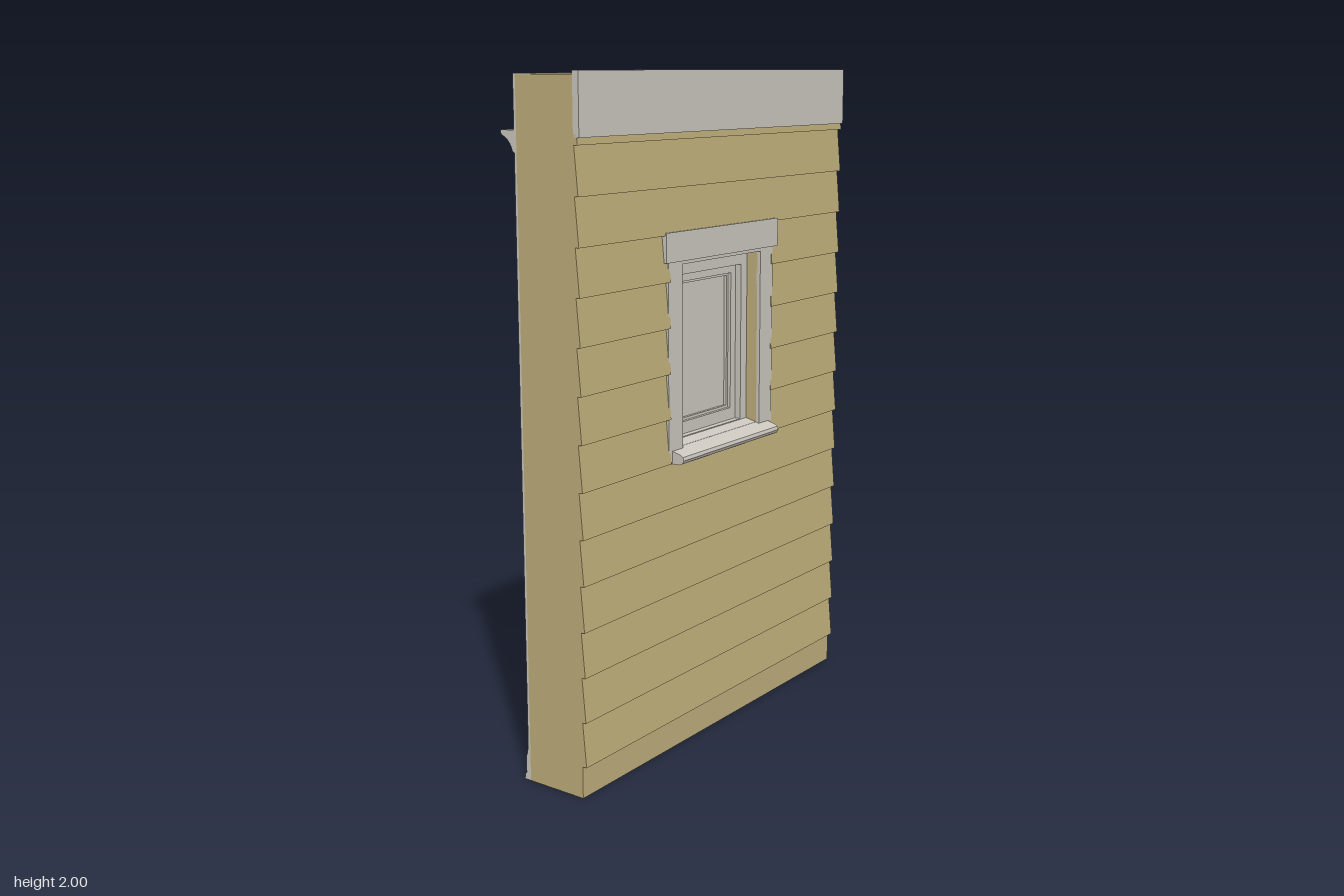
import * as THREE from 'three';

export function createModel() {
  const wall = new THREE.Group();
  wall.name = 'wallSection';
  const tan = new THREE.MeshStandardMaterial({ color: 0xbfae7b });
  tan.name = 'tan siding';
  const grey = new THREE.MeshStandardMaterial({ color: 0xccc8c0 });
  grey.name = 'warm grey trim';

  const add = (name, geo, mat) => {
    const m = new THREE.Mesh(geo, mat);
    m.name = name;
    wall.add(m);
    return m;
  };
  // box given by its limits on each axis
  const box = (name, mat, x0, x1, y0, y1, z0, z1) => {
    const m = add(name, new THREE.BoxGeometry(x1 - x0, y1 - y0, z1 - z0), mat);
    m.position.set((x0 + x1) / 2, (y0 + y1) / 2, (z0 + z1) / 2);
    return m;
  };
  // profile of [z, y] points swept along x
  const sweep = (name, mat, pts, x0, x1) => {
    const shape = new THREE.Shape(pts.map(([z, y]) => new THREE.Vector2(z, y)));
    const geo = new THREE.ExtrudeGeometry(shape, { depth: x1 - x0, bevelEnabled: false });
    geo.rotateY(-Math.PI / 2).translate(x1, 0, 0);
    return add(name, geo, mat);
  };
  // rectangular plate with a rectangular hole; o and h are [halfWidth, bottom, top]
  const ring = (name, mat, o, h, z0, z1) => {
    const rect = (S, [w, b, t]) => new S([[-w, b], [w, b], [w, t], [-w, t]].map(p => new THREE.Vector2(...p)));
    const shape = rect(THREE.Shape, o);
    shape.holes.push(rect(THREE.Path, h));
    const geo = new THREE.ExtrudeGeometry(shape, { depth: z1 - z0, bevelEnabled: false });
    geo.translate(0, 0, z0);
    return add(name, geo, mat);
  };

  const W = 0.66, TOP = 1.99;
  const opening = [0.2, 0.925, 1.46];

  // wall body
  ring('wallCore', tan, [W, 0, TOP], opening, -0.095, 0.1);
  ring('interiorPanel', grey, [W, 0, TOP], opening, -0.103, -0.095);
  box('topPlate', grey, -W, W, TOP - 0.002, TOP + 0.002, -0.103, -0.04);

  // lap siding, parted around the window
  const lap = 0.132;
  for (let i = 0; i < 14; i++) {
    const y0 = 0.095 + i * lap, y1 = Math.min(y0 + lap, 1.84);
    const front = 0.114 - 0.012 * (y1 - y0) / lap;
    const profile = [[0.098, y0], [0.114, y0], [front, y1], [0.098, y1]];
    if (i >= 6 && i <= 10) {
      sweep('sidingBoard', tan, profile, -W, -0.26);
      sweep('sidingBoard', tan, profile, 0.26, W);
    } else sweep('sidingBoard', tan, profile, -W, W);
  }
  box('friezeBoard', grey, -W, W, 1.83, 2, 0.099, 0.12);

  // exterior window trim
  for (const s of [-1, 1]) {
    const a = s * 0.2, b = s * 0.268;
    box('outerSideCasing', grey, Math.min(a, b), Math.max(a, b), 0.89, 1.475, 0.098, 0.111);
  }
  box('outerHeadCasing', grey, -0.285, 0.285, 1.47, 1.555, 0.098, 0.118);
  box('outerHeadFiller', grey, -0.2, 0.2, 1.46, 1.47, 0.098, 0.111);
  sweep('outerSill', grey, [[0.098, 0.885], [0.135, 0.885], [0.146, 0.89], [0.151, 0.9],
    [0.148, 0.91], [0.14, 0.915], [0.098, 0.927]], -0.25, 0.25);
  sweep('sillSlope', grey, [[0.05, 0.92], [0.1, 0.92], [0.1, 0.927], [0.05, 0.938]], -0.2, 0.2);

  // window frame, sash and pane
  ring('windowFrame', grey, [0.2, 0.925, 1.46], [0.168, 0.938, 1.42], -0.01, 0.062);
  ring('sash', grey, [0.168, 0.938, 1.42], [0.142, 0.975, 1.395], 0, 0.042);
  ring('glazingBead', grey, [0.142, 0.975, 1.395], [0.134, 0.983, 1.387], 0.01, 0.032);
  box('pane', grey, -0.136, 0.136, 0.981, 1.389, 0.017, 0.023);

  // interior jamb lining and trim
  ring('jambLining', grey, [0.203, 0.922, 1.463], [0.197, 0.93, 1.455], -0.104, -0.01);
  for (const s of [-1, 1]) {
    const a = s * 0.2, b = s * 0.26;
    box('innerSideCasing', grey, Math.min(a, b), Math.max(a, b), 0.935, 1.46, -0.112, -0.1);
  }
  box('innerHeadCasing', grey, -0.262, 0.262, 1.46, 1.54, -0.115, -0.1);
  box('innerHeadBead', grey, -0.268, 0.268, 1.455, 1.465, -0.119, -0.1);
  box('innerHeadCap', grey, -0.277, 0.277, 1.538, 1.554, -0.125, -0.1);
  sweep('innerStool', grey, [[-0.1, 0.925], [-0.1, 0.943], [-0.124, 0.943],
    [-0.129, 0.939], [-0.129, 0.929], [-0.124, 0.925]], -0.28, 0.28);
  box('innerApron', grey, -0.257, 0.257, 0.875, 0.925, -0.111, -0.1);

  // interior crown moulding with a concave face
  const crown = new THREE.QuadraticBezierCurve(new THREE.Vector2(-0.147, 1.832),
    new THREE.Vector2(-0.118, 1.82), new THREE.Vector2(-0.11, 1.79)).getPoints(8).map(p => [p.x, p.y]);
  sweep('crownMoulding', grey, [[-0.1, 1.845], [-0.151, 1.845], [-0.151, 1.838],
    ...crown, [-0.1, 1.782]], -W, W);

  // interior baseboard and shoe
  sweep('baseboard', grey, [[-0.1, 0], [-0.1, 0.102], [-0.104, 0.102], [-0.106, 0.085],
    [-0.111, 0.07], [-0.111, 0.022], [-0.116, 0.014], [-0.118, 0]], -W, W);

  return wall;
}
